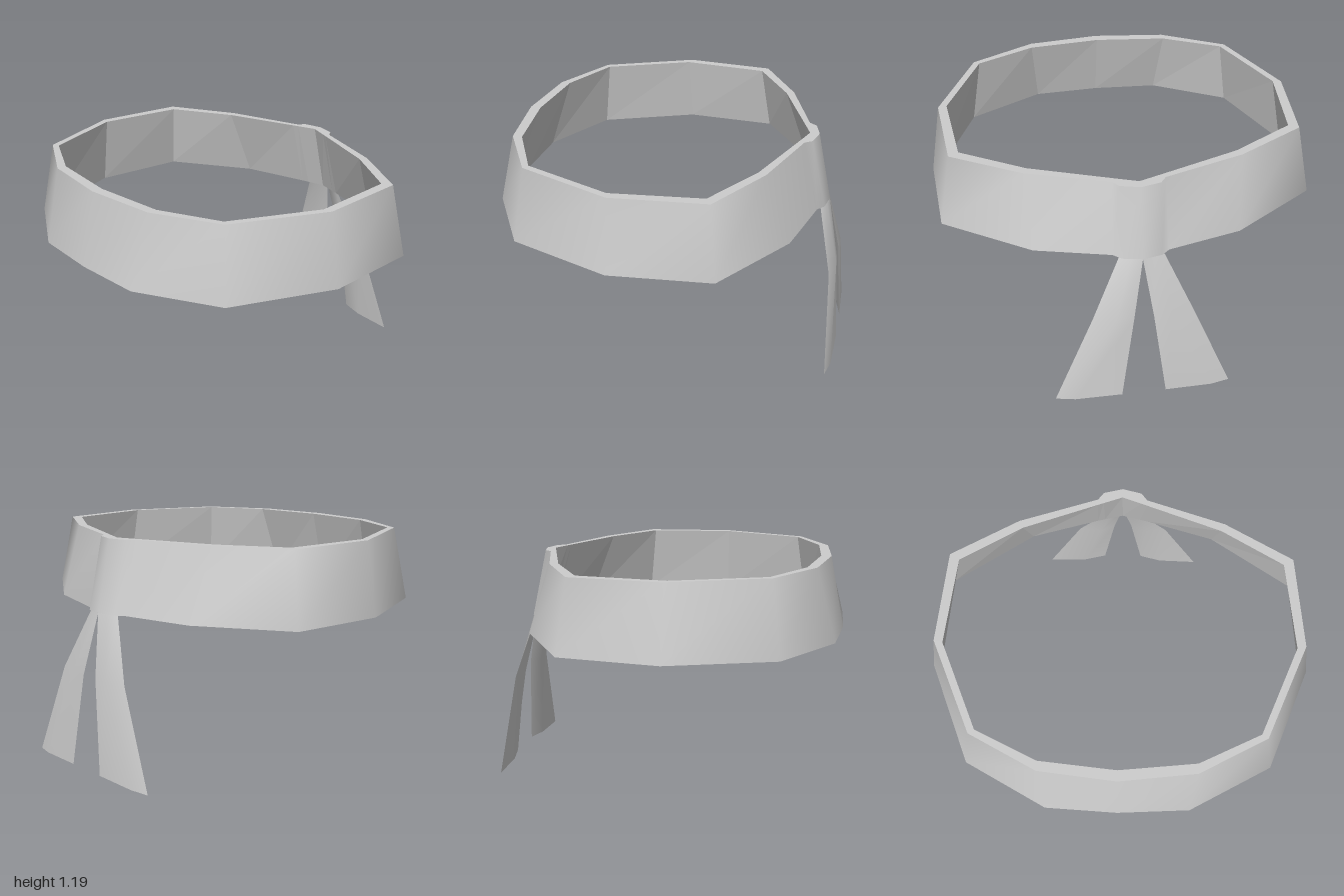
import * as THREE from 'three';

// Skin a grid of cross-section rows; flat gives faceted shading
function skin(rows, closed, flat) {
  const n = rows[0].length, index = [];
  for (let r = 0; r < rows.length - 1; r++) {
    for (let c = 0; c < (closed ? n : n - 1); c++) {
      const d = (c + 1) % n, a = r * n, b = a + n;
      index.push(a + c, a + d, b + d, a + c, b + d, b + c);
    }
  }
  let geo = new THREE.BufferGeometry();
  geo.setAttribute('position', new THREE.Float32BufferAttribute(rows.flat(2), 3));
  geo.setIndex(index);
  if (flat) geo = geo.toNonIndexed();
  geo.computeVertexNormals();
  return geo;
}

// Full ring from a half outline running front to back on the +x side
function ring(half, yFront, yBack) {
  const full = [...half, ...half.slice(1, -1).reverse().map(([x, z]) => [-x, z])];
  return full.map(([x, z]) => [x, THREE.MathUtils.mapLinear(z, 0.9, -0.8, yFront, yBack), z]);
}

export function createModel() {
  const group = new THREE.Group();
  const cloth = new THREE.MeshStandardMaterial({ color: 0xcccccc, side: THREE.DoubleSide });
  cloth.name = 'grey cloth';
  const add = (parent, name, geo) => {
    const mesh = new THREE.Mesh(geo, cloth);
    mesh.name = name;
    parent.add(mesh);
  };

  // Flared band; the last three outline points swell into the knot
  const bottomOuter = ring([[0, 0.92], [0.37, 0.9], [0.79, 0.67], [1, 0.14], [0.96, -0.38],
    [0.52, -0.67], [0.14, -0.765], [0.1, -0.8], [0, -0.82]], 0.81, 0.82);
  const topOuter = ring([[0, 0.845], [0.39, 0.8], [0.73, 0.62], [0.935, 0.14], [0.89, -0.34],
    [0.54, -0.54], [0.13, -0.675], [0.1, -0.715], [0, -0.74]], 1.195, 1.19);
  const topInner = ring([[0, 0.79], [0.39, 0.75], [0.7, 0.6], [0.89, 0.15], [0.84, -0.31],
    [0.52, -0.5], [0.13, -0.643], [0.1, -0.654], [0, -0.69]], 1.195, 1.19);
  const bottomInner = ring([[0, 0.89], [0.36, 0.87], [0.76, 0.65], [0.96, 0.14], [0.92, -0.36],
    [0.5, -0.64], [0.14, -0.745], [0.1, -0.755], [0, -0.78]], 0.815, 0.82);

  const band = new THREE.Group();
  band.name = 'headband';
  group.add(band);
  add(band, 'bandOutside', skin([bottomOuter, topOuter], true, false));
  add(band, 'bandTopRim', skin([topOuter, topInner], true, true));
  add(band, 'bandInside', skin([topInner, bottomInner], true, true));
  add(band, 'bandBottomRim', skin([bottomInner, bottomOuter], true, true));

  // Hanging tails: front and back sheets share their side edges, bottom to top
  const front = [
    [[0.115, 0.01, -0.922], [0.24, 0.005, -0.894], [0.46, 0, -0.89]],
    [[0.05, 0.5, -0.885], [0.13, 0.5, -0.848], [0.255, 0.5, -0.86]],
    [[0, 0.82, -0.82], [0.06, 0.82, -0.785], [0.11, 0.82, -0.78]],
  ];
  const back = [
    [front[0][2], [0.36, 0.005, -0.915], front[0][0]],
    [front[1][2], [0.14, 0.5, -0.89], front[1][0]],
    [front[2][2], [0.06, 0.82, -0.81], front[2][0]],
  ];
  for (const side of [1, -1]) {
    const tail = new THREE.Group();
    tail.name = side > 0 ? 'leftTail' : 'rightTail';
    group.add(tail);
    // Mirroring reverses each row so the faces still point outward
    const mirror = (rows) => side > 0 ? rows
      : rows.map((row) => row.map(([x, y, z]) => [-x, y, z]).reverse());
    add(tail, 'tailFront', skin(mirror(front), false, false));
    add(tail, 'tailBack', skin(mirror(back), false, false));
    add(tail, 'tailHem', skin(mirror([[...back[0]].reverse(), front[0]]), false, true));
  }
  return group;
}
